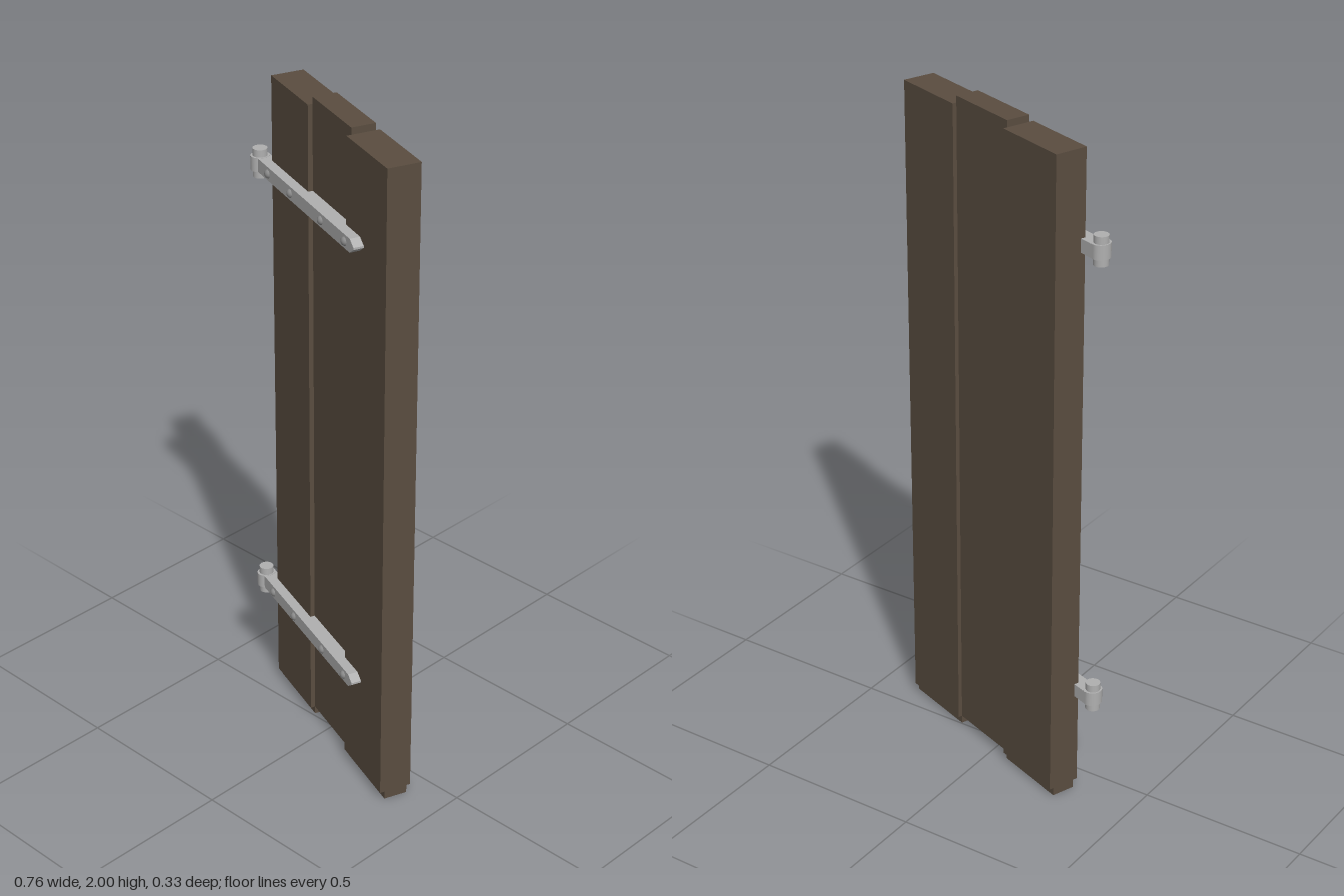
import * as THREE from 'three';

const wood = new THREE.MeshStandardMaterial({ name: 'dark wood', color: 0x5a4d40 });
const iron = new THREE.MeshStandardMaterial({ name: 'grey iron', color: 0xb0b0b0 });
const rivetIron = new THREE.MeshStandardMaterial({ name: 'rivet iron', color: 0x8c8c8c });

function add(parent, name, geometry, material, x = 0, y = 0, z = 0) {
  const mesh = new THREE.Mesh(geometry, material);
  mesh.name = name;
  mesh.position.set(x, y, z);
  parent.add(mesh);
  return mesh;
}

// Box given by its limits on each axis
function slab(parent, name, x0, x1, y0, y1, z0, z1) {
  add(parent, name, new THREE.BoxGeometry(x1 - x0, y1 - y0, z1 - z0), wood,
    (x0 + x1) / 2, (y0 + y1) / 2, (z0 + z1) / 2);
}

function createHinge() {
  const hinge = new THREE.Group();
  hinge.name = 'hinge';
  // Strap with a pointed tip
  const outline = new THREE.Shape();
  outline.moveTo(-0.362, -0.02);
  outline.lineTo(0.232, -0.02);
  outline.lineTo(0.254, -0.003);
  outline.lineTo(0.254, 0.003);
  outline.lineTo(0.232, 0.02);
  outline.lineTo(-0.362, 0.02);
  outline.closePath();
  add(hinge, 'strap', new THREE.ExtrudeGeometry(outline, { depth: 0.044, bevelEnabled: false }),
    iron, 0, 0, 0.02);
  // Eye wrapped round the pin
  const eye = add(hinge, 'eye', new THREE.CylinderGeometry(0.025, 0.025, 0.042, 20), iron, -0.362, 0, 0.048);
  eye.scale.z = 1.12;
  add(hinge, 'pin', new THREE.CylinderGeometry(0.021, 0.021, 0.085, 20), iron, -0.362, 0, 0.048);
  // Domed rivets
  for (const x of [-0.277, -0.133, 0.058, 0.2]) {
    const dome = new THREE.SphereGeometry(0.013, 12, 5, 0, Math.PI * 2, 0, Math.PI / 2);
    dome.rotateX(Math.PI / 2);
    dome.scale(1, 1, 0.8);
    add(hinge, 'rivet', dome, rivetIron, x, 0, 0.063);
  }
  return hinge;
}

export function createModel() {
  const model = new THREE.Group();
  model.name = 'shutter';
  // The leaf stands swung open
  const leaf = new THREE.Group();
  leaf.name = 'leaf';
  leaf.rotation.y = -THREE.MathUtils.degToRad(19.9);
  model.add(leaf);

  // Thick outer boards, each with a thinner tongue at its foot
  for (const [side, x0, x1] of [['right', -0.312, -0.081], ['left', 0.15, 0.382]]) {
    slab(leaf, side + 'Board', x0, x1, 0.025, 1.98, -0.063, 0.034);
    slab(leaf, side + 'Tongue', x0, x1, 0, 0.025, -0.051, 0.02);
  }
  // Thin middle board
  slab(leaf, 'middleBoard', -0.081, 0.15, 0.025, 2, -0.051, 0.02);

  for (const y of [0.335, 1.709]) {
    const hinge = createHinge();
    hinge.position.y = y;
    leaf.add(hinge);
  }
  return model;
}
